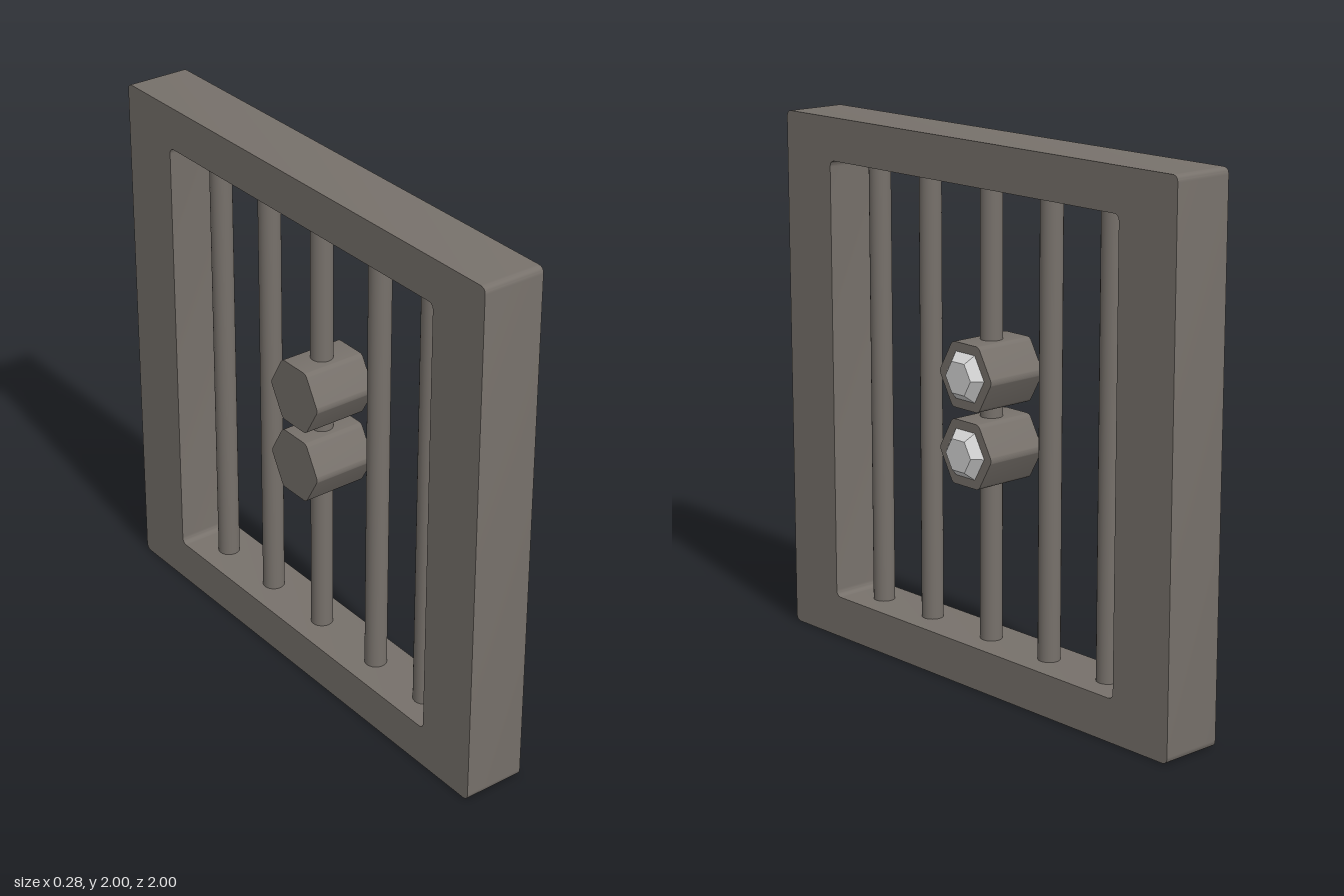
import * as THREE from 'three';
import { toCreasedNormals } from 'three/addons/utils/BufferGeometryUtils.js';

// Trace a polygon with rounded corners onto a Shape or Path
function roundedPoly(path, pts, r) {
  pts.forEach((p, i) => {
    const prev = pts[(i + pts.length - 1) % pts.length];
    const next = pts[(i + 1) % pts.length];
    const a = p.clone().add(prev.clone().sub(p).setLength(r));
    const b = p.clone().add(next.clone().sub(p).setLength(r));
    if (i === 0) path.moveTo(a.x, a.y); else path.lineTo(a.x, a.y);
    path.quadraticCurveTo(p.x, p.y, b.x, b.y);
  });
  path.closePath();
  return path;
}

const rect = (x0, y0, x1, y1) =>
  [[x0, y0], [x1, y0], [x1, y1], [x0, y1]].map(([x, y]) => new THREE.Vector2(x, y));

// Extrude a side-on outline (horizontal = -z) along x
function extrudeX(shape, x0, x1) {
  const g = new THREE.ExtrudeGeometry(shape, { depth: x1 - x0, bevelEnabled: false, curveSegments: 6 });
  g.rotateY(Math.PI / 2);
  g.translate(x0, 0, 0);
  return toCreasedNormals(g, 0.5);
}

export function createModel() {
  const group = new THREE.Group();
  const iron = new THREE.MeshStandardMaterial({ name: 'warm grey iron', color: 0x77716b });
  const crystal = new THREE.MeshStandardMaterial({ name: 'pale crystal', color: 0xd6d6d6 });

  const add = (name, geometry, material, x = 0, y = 0, z = 0) => {
    const mesh = new THREE.Mesh(geometry, material);
    mesh.name = name;
    mesh.position.set(x, y, z);
    group.add(mesh);
    return mesh;
  };

  // Square frame with rounded corners and a window opening
  const outline = roundedPoly(new THREE.Shape(), rect(-1, 0, 1, 2), 0.025);
  outline.holes.push(roundedPoly(new THREE.Path(), rect(-0.75, 0.16, 0.74, 1.84), 0.025));
  add('frame', extrudeX(outline, -0.138, 0.1), iron);

  // Vertical bars, ends sunk into the frame
  const bar = new THREE.CylinderGeometry(0.041, 0.041, 1.72, 24);
  [0.61, 0.33, 0.005, -0.3, -0.595].forEach((z, i) => add('bar' + (i + 1), bar, iron, -0.02, 1, z));

  // Hexagonal bead housings on the centre bar, each with a cut gem
  const corners = Array.from({ length: 6 }, (_, i) =>
    new THREE.Vector2(Math.cos(i * Math.PI / 3), Math.sin(i * Math.PI / 3)).multiplyScalar(0.138));
  const housing = extrudeX(roundedPoly(new THREE.Shape(), corners, 0.015), -0.142, 0.105);
  const gem = toCreasedNormals(new THREE.CylinderGeometry(0.066, 0.1, 0.036, 6), 0.3);
  gem.rotateZ(-Math.PI / 2);
  [['upper', 1.16], ['lower', 0.878]].forEach(([side, y]) => {
    add(side + 'Housing', housing, iron, 0, y, 0.005);
    add(side + 'Gem', gem, crystal, 0.122, y, 0.005);
  });

  return group;
}
